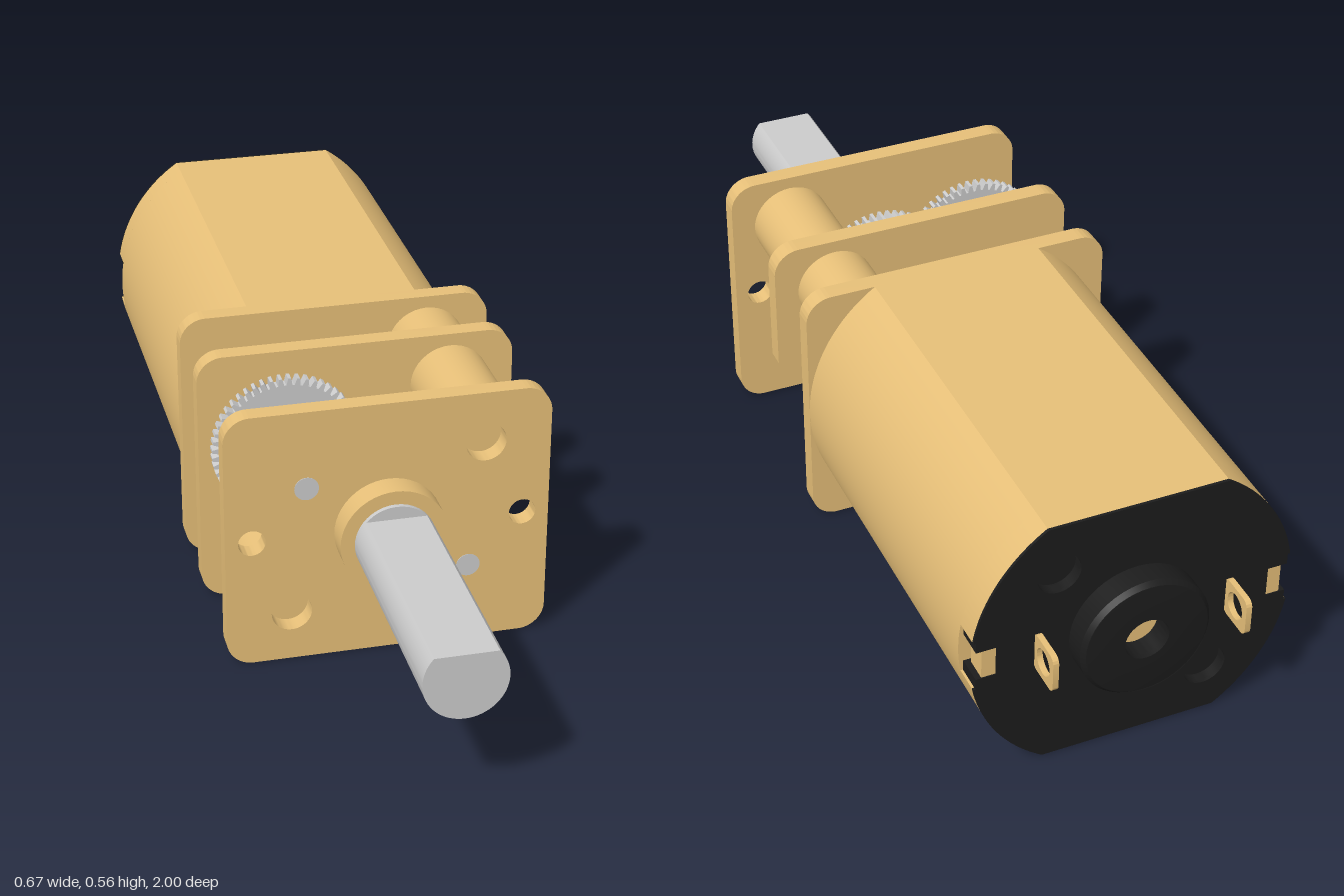
import * as THREE from 'three';
import { toCreasedNormals } from 'three/addons/utils/BufferGeometryUtils.js';

const brass = new THREE.MeshStandardMaterial({ color: 0xe6bf78 });
const brassThin = new THREE.MeshStandardMaterial({ color: 0xe6bf78, side: THREE.DoubleSide });
const steel = new THREE.MeshStandardMaterial({ color: 0xcccccc });
const black = new THREE.MeshStandardMaterial({ color: 0x1c1c1c, side: THREE.DoubleSide });

const CY = 0.28;              // height of the main axis
const R = 0.335, FLAT = 0.28; // motor radius and half height
const PIN_A = [0.168, -0.11], PIN_B = [-0.168, 0.11];

export function createModel() {
  const root = new THREE.Group();
  root.name = 'gearMotor';
  const body = new THREE.Group();
  body.name = 'assembly';
  body.position.y = CY;
  root.add(body);

  const add = (name, geo, mat) => {
    const m = new THREE.Mesh(geo, mat);
    m.name = name;
    body.add(m);
    return m;
  };
  // Extrude a front-facing shape between two z positions
  const slab = (name, shape, z0, z1, mat, crease = 0.4) => {
    const g = new THREE.ExtrudeGeometry(shape, { depth: z1 - z0, bevelEnabled: false, curveSegments: 24 });
    return add(name, toCreasedNormals(g.translate(0, 0, z0), crease), mat);
  };
  const rod = (name, [x, y], r, z0, z1, mat) =>
    add(name, new THREE.CylinderGeometry(r, r, z1 - z0, 40).rotateX(Math.PI / 2).translate(x, y, (z0 + z1) / 2), mat);
  const box = (name, x, y, z, w, h, d, mat) =>
    add(name, new THREE.BoxGeometry(w, h, d).translate(x, y, z), mat);

  // Gearbox plates
  slab('rearPlate', roundedRect(R, FLAT, 0.055), -0.075, -0.035, brass);
  slab('middlePlate', middleShape(), 0.115, 0.155, brass);
  const front = roundedRect(R, FLAT, 0.055);
  for (const s of [1, -1]) {
    punch(front, s * 0.2, s * 0.17, 0.042);
    punch(front, s * 0.28, 0, 0.028);
  }
  slab('frontPlate', front, 0.39, 0.43, brass);

  // Spacer pillars and steel pins
  for (const s of [1, -1]) rod('pillar', [s * 0.2, s * 0.17], 0.084, -0.035, 0.39, brass);
  rod('lowerPin', PIN_A, 0.025, -0.035, 0.431, steel);
  rod('upperPin', PIN_B, 0.025, 0.115, 0.431, steel);

  // Output bushing and D-shaped shaft
  const ring = disc(0.112);
  punch(ring, 0, 0, 0.083);
  slab('bushing', ring, 0.43, 0.485, brass);
  rod('shaftRound', [0, 0], 0.083, 0.18, 0.495, steel);
  const a = Math.asin(0.055 / 0.083);
  const dShape = new THREE.Shape();
  dShape.absarc(0, 0, 0.083, Math.PI - a, Math.PI * 2 + a, false);
  dShape.closePath();
  slab('shaftFlat', dShape, 0.495, 1, steel);

  // Gear train: name, axis, outer radius, teeth, z range
  const gears = [
    ['motorPinion', [0, 0], 0.08, 24, -0.02, 0.045],
    ['firstWheel', PIN_A, 0.13, 44, -0.02, 0.003],
    ['longPinion', PIN_A, 0.052, 16, 0.003, 0.205],
    ['secondWheel', [0, 0], 0.155, 52, 0.157, 0.18],
    ['secondPinion', [0, 0], 0.052, 16, 0.18, 0.252],
    ['thirdWheel', PIN_B, 0.155, 52, 0.226, 0.25],
    ['thirdPinion', PIN_B, 0.055, 16, 0.25, 0.355],
    ['outputWheel', [0, 0], 0.152, 50, 0.282, 0.375],
  ];
  for (const [name, [x, y], r, n, z0, z1] of gears)
    slab(name, gearShape(r, n), z0, z1, steel, 0.1).position.set(x, y, 0);
  rod('motorShaft', [0, 0], 0.03, -0.035, 0.085, brass);

  // Motor can, its notched rear end, and the end cap
  slab('motorCan', canShape(false), -0.86, -0.075, brass);
  const tail = canShape(true), cap = canShape(true);
  for (const s of [1, -1]) {
    punch(tail, s * 0.16, s * 0.17, 0.048);
    punch(cap, s * 0.16, s * 0.17, 0.045);
  }
  punch(cap, 0, 0, 0.046);
  slab('motorCanEnd', tail, -0.913, -0.86, brass);
  slab('endCap', cap, -0.919, -0.913, black);
  const boss = disc(0.135);
  punch(boss, 0, 0, 0.046);
  slab('capBoss', boss, -0.965, -0.919, black);
  add('bossRim', new THREE.LatheGeometry([[0.046, 0], [0.125, 0], [0.135, -0.01]].map(p => new THREE.Vector2(...p)), 48)
    .rotateX(-Math.PI / 2).translate(0, 0, -0.975), black);
  add('bossRimInner', new THREE.CylinderGeometry(0.046, 0.046, 0.012, 32, 1, true)
    .rotateX(Math.PI / 2).translate(0, 0, -0.969), black);
  add('bossRimOuter', new THREE.CylinderGeometry(0.135, 0.127, 0.01, 48, 1, true)
    .rotateX(Math.PI / 2).translate(0, 0, -0.97), black);
  rod('rearBearing', [0, 0], 0.046, -0.925, -0.91, brass);

  for (const s of [1, -1]) {
    // Round recess in the cap
    const cup = [[0, 0], [0.0455, 0], [0.0455, 0.025]].map(p => new THREE.Vector2(...p));
    add('capRecess', toCreasedNormals(new THREE.LatheGeometry(cup, 32), 0.5)
      .rotateX(-Math.PI / 2).translate(s * 0.16, s * 0.17, -0.893), black);
    // Side clip with a brass tab between two arms
    box('clipBase', s * 0.272, 0, -0.89, 0.024, 0.114, 0.058, black);
    for (const t of [1, -1]) box('clipArm', s * 0.3, t * 0.045, -0.89, 0.05, 0.024, 0.058, black);
    box('clipTab', s * 0.298, 0, -0.893, 0.03, 0.066, 0.048, brass);
    // Solder terminal
    const lug = roundedRect(0.043, 0.042, 0.016);
    punch(lug, 0, 0, 0.028);
    const g = new THREE.ExtrudeGeometry(lug, { depth: 0.012, bevelEnabled: false, curveSegments: 12 });
    add('terminal', toCreasedNormals(g.translate(0, 0, -0.006).rotateY(Math.PI / 2), 0.4)
      .translate(s * 0.2, 0, -0.957), brassThin);
  }
  return root;
}

function punch(shape, x, y, r) {
  shape.holes.push(new THREE.Path().absarc(x, y, r, 0, Math.PI * 2, true));
}

function disc(r) {
  return new THREE.Shape().absarc(0, 0, r, 0, Math.PI * 2, false);
}

function roundedRect(w, h, r) {
  const s = new THREE.Shape();
  [[1, 1], [-1, 1], [-1, -1], [1, -1]].forEach(([x, y], i) =>
    s.absarc(x * (w - r), y * (h - r), r, i * Math.PI / 2, (i + 1) * Math.PI / 2, false));
  s.closePath();
  return s;
}

// Plate with one lower quarter cut away to clear the long pinion
function middleShape() {
  const r = 0.055, x = R - r, y = FLAT - r, q = Math.PI / 2;
  const s = new THREE.Shape();
  s.absarc(x, y, r, 0, q, false);
  s.absarc(-x, y, r, q, 2 * q, false);
  s.absarc(-x, -y, r, 2 * q, 3 * q, false);
  s.lineTo(0.09, -FLAT);
  s.lineTo(0.09, 0.003);
  s.lineTo(R, 0.003);
  s.closePath();
  return s;
}

// Circle with flat top and bottom, optionally notched at both sides
function canShape(notched) {
  const a = Math.asin(FLAT / R), n = Math.asin(0.057 / R);
  const s = new THREE.Shape();
  for (const o of [0, Math.PI]) {
    if (!notched) { s.absarc(0, 0, R, o - a, o + a, false); continue; }
    const k = o ? -1 : 1;
    s.absarc(0, 0, R, o - a, o - n, false);
    s.lineTo(k * 0.28, -k * 0.057);
    s.lineTo(k * 0.28, k * 0.057);
    s.absarc(0, 0, R, o + n, o + a, false);
  }
  s.closePath();
  return s;
}

// Spur gear outline with tapered teeth
function gearShape(r, teeth) {
  const pts = [], step = Math.PI * 2 / teeth, root = r - 0.015;
  for (let i = 0; i < teeth; i++)
    for (const [f, rad] of [[0, root], [0.25, root], [0.45, r], [0.8, r]])
      pts.push(new THREE.Vector2(Math.cos((i + f) * step) * rad, Math.sin((i + f) * step) * rad));
  return new THREE.Shape(pts);
}
